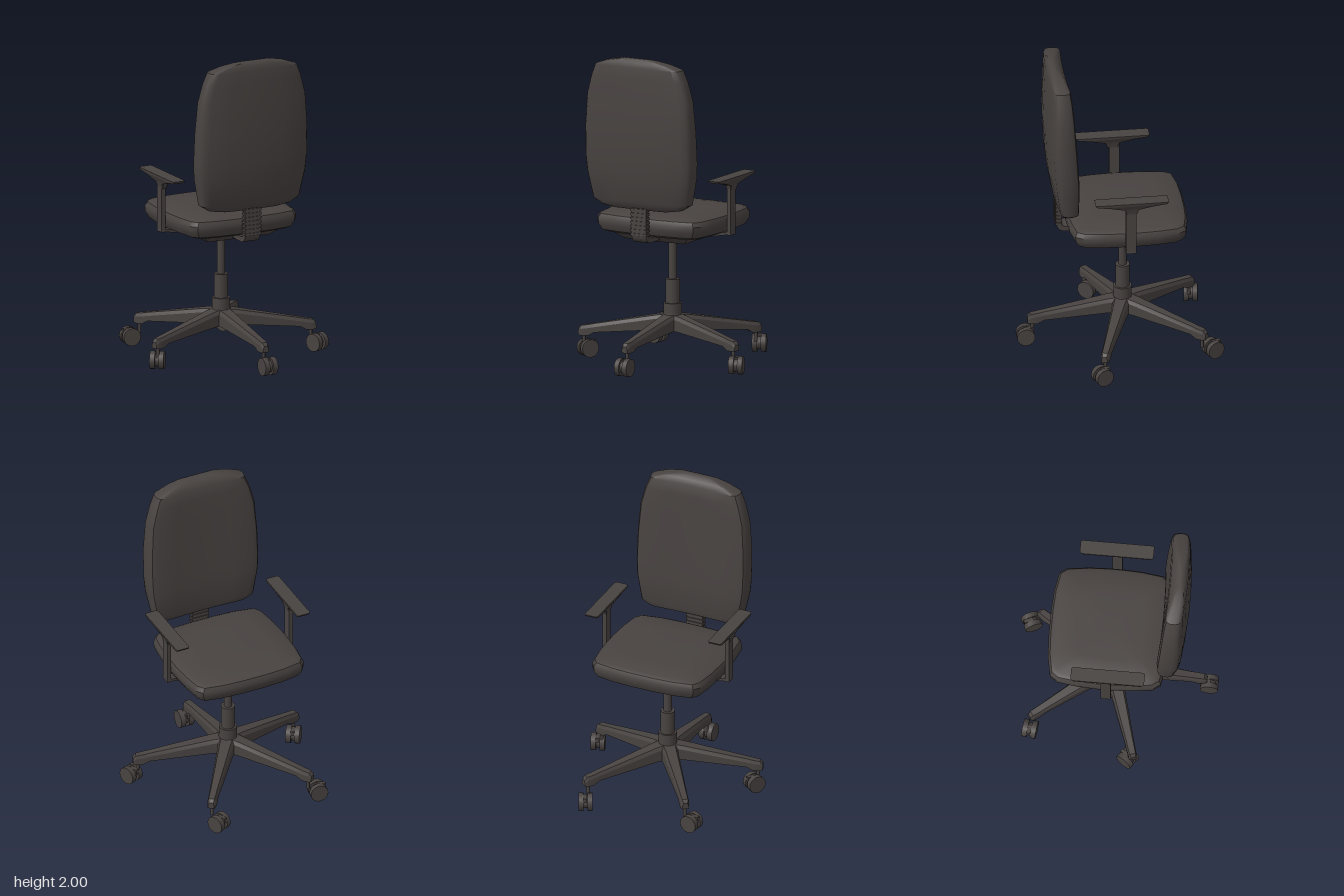
import * as THREE from 'three';
import { toCreasedNormals } from 'three/addons/utils/BufferGeometryUtils.js';

const charcoal = new THREE.MeshStandardMaterial({ color: 0x484341 });
charcoal.name = 'charcoal';

function add(parent, name, geometry, x = 0, y = 0, z = 0) {
  const mesh = new THREE.Mesh(geometry, charcoal);
  mesh.name = name;
  mesh.position.set(x, y, z);
  parent.add(mesh);
  return mesh;
}

// Closed skin over a list of rings, each a list of [x, y, z]
function loft(rings, crease = 0.6) {
  const n = rings[0].length, pos = rings.flat(2), index = [];
  for (let i = 0; i < rings.length - 1; i++) {
    for (let j = 0; j < n; j++) {
      const k = (j + 1) % n, a = i * n + j, c = i * n + k;
      index.push(a, a + n, c, a + n, c + n, c);
    }
  }
  [0, rings.length - 1].forEach((r, end) => {
    const centre = pos.length / 3;
    for (let axis = 0; axis < 3; axis++) {
      pos.push(rings[r].reduce((s, p) => s + p[axis], 0) / n);
    }
    for (let j = 0; j < n; j++) {
      const a = r * n + j, b = r * n + (j + 1) % n;
      index.push(centre, end ? b : a, end ? a : b);
    }
  });
  const g = new THREE.BufferGeometry();
  g.setAttribute('position', new THREE.Float32BufferAttribute(pos, 3));
  g.setIndex(index);
  return toCreasedNormals(g, crease);
}

// Mirrors a quarter outline into a full ring of [x, z]
function outline(quarter) {
  const flip = (q, sx, sz) => q.map(([x, z]) => [x * sx, z * sz]);
  const back = [...quarter].reverse();
  return [...quarter, ...flip(back, -1, 1), ...flip(quarter, -1, -1), ...flip(back, 1, -1)];
}

const cylinder = (rTop, rBottom, h, sides = 20) => new THREE.CylinderGeometry(rTop, rBottom, h, sides);

function addSeat(chair) {
  const shape = outline([[1, 0.12], [0.985, 0.45], [0.94, 0.8], [0.86, 0.92], [0.55, 0.98], [0.2, 1]]);
  const layers = [[0.845, 0.86], [0.86, 0.94], [0.9, 0.995], [0.935, 1], [0.962, 0.965], [0.975, 0.9], [0.985, 0.55]];
  add(chair, 'seatCushion', loft(layers.map(([y, s]) =>
    shape.map(([x, z]) => [x * 0.4 * s, y, -0.05 + z * 0.38 * s]))));

  // Tapered plate under the cushion
  const square = outline([[1, 1]]);
  add(chair, 'seatPlate', loft([[0.8, 0.215, 0.225], [0.85, 0.275, 0.285]].map(([y, hx, hz]) =>
    square.map(([x, z]) => [x * hx, y, -0.035 + z * hz])), 0.3));
}

function addBackrest(chair) {
  const shape = outline([[1, 0.2], [0.985, 0.6], [0.95, 0.85], [0.85, 1], [0.5, 1], [0.15, 1]]);
  // height, half width, front z, back z
  const layers = [
    [1.03, 0.2, 0.3, 0.375], [1.045, 0.29, 0.275, 0.39], [1.08, 0.345, 0.265, 0.405], [1.25, 0.378, 0.265, 0.435],
    [1.35, 0.385, 0.27, 0.445], [1.55, 0.382, 0.282, 0.455], [1.75, 0.367, 0.295, 0.45], [1.87, 0.335, 0.303, 0.446],
    [1.945, 0.305, 0.312, 0.442], [1.975, 0.22, 0.33, 0.435], [1.992, 0.14, 0.35, 0.425], [2, 0.09, 0.37, 0.41],
  ];
  add(chair, 'backrestCushion', loft(layers.map(([y, hw, zf, zb]) => shape.map(([u, v]) => {
    const t = (u * hw / 0.385) ** 2;
    const bend = v > 0 ? -0.03 * t * v : -0.02 * (1 - t) * v;
    return [u * hw, y, (zf + zb) / 2 + v * (zb - zf) / 2 + bend];
  }))));
}

function addBackSupport(chair) {
  // Bent strip, drawn from the side
  const s = new THREE.Shape();
  s.moveTo(0.15, 0.82);
  s.lineTo(0.33, 0.815);
  s.quadraticCurveTo(0.385, 0.82, 0.385, 0.88);
  s.lineTo(0.385, 1.08);
  s.lineTo(0.355, 1.08);
  s.lineTo(0.355, 0.88);
  s.quadraticCurveTo(0.355, 0.848, 0.32, 0.848);
  s.lineTo(0.15, 0.848);
  const strip = new THREE.ExtrudeGeometry(s, { depth: 0.105, bevelEnabled: false, curveSegments: 6 });
  strip.translate(0, 0, -0.0525).rotateY(-Math.PI / 2);
  add(chair, 'backSupport', strip);
  for (let i = 0; i < 7; i++) {
    add(chair, 'supportRib', new THREE.BoxGeometry(0.115, 0.016, 0.042), 0, 0.872 + i * 0.026, 0.37);
  }
}

function addArmrest(chair, side) {
  const arm = new THREE.Group();
  arm.name = side > 0 ? 'leftArmrest' : 'rightArmrest';
  const x = side * 0.425;
  const shape = outline([[1, 0.94], [0.85, 1]]);
  const layers = [[1.13, 0.014, 0.032], [1.165, 0.022, 0.045], [1.19, 0.034, 0.14], [1.207, 0.045, 0.225], [1.22, 0.045, 0.232]];
  add(arm, 'armPad', loft(layers.map(([y, hx, hz]) =>
    shape.map(([u, v]) => [u * hx, y, v * hz]))), x, 0, -0.036 + side * -0.008);
  add(arm, 'armPost', new THREE.BoxGeometry(0.027, 0.31, 0.064), x, 1.0, -0.04);
  const bracket = add(arm, 'armBracket', new THREE.BoxGeometry(0.23, 0.018, 0.062), side * 0.325, 0.84, -0.04);
  bracket.rotation.z = side * 0.17;
  chair.add(arm);
}

function addBase(chair) {
  const z = -0.04;
  add(chair, 'gasLift', cylinder(0.026, 0.026, 0.33), 0, 0.66, z);
  add(chair, 'columnSleeve', cylinder(0.045, 0.045, 0.3), 0, 0.375, z);
  add(chair, 'columnCollar', cylinder(0.058, 0.058, 0.075), 0, 0.335, z);
  add(chair, 'hub', cylinder(0.058, 0.075, 0.105), 0, 0.2525, z);

  // distance, top, bottom, half width on top, half width at bottom
  const sections = [
    [0, 0.305, 0.2, 0.04, 0.056], [0.1, 0.293, 0.2, 0.034, 0.048], [0.5, 0.22, 0.165, 0.02, 0.029],
    [0.54, 0.212, 0.142, 0.02, 0.028], [0.585, 0.205, 0.142, 0.018, 0.026], [0.603, 0.185, 0.145, 0.013, 0.02],
  ];
  const leg = loft(sections.map(([d, top, bottom, tw, bw]) => [
    [-tw, top, d], [tw, top, d], [bw, top - 0.022, d], [bw, bottom, d], [-bw, bottom, d], [-bw, top - 0.022, d],
  ]), 0.3);
  // wheel centre x, z and turn of each caster
  const casters = [[0.007, 0.575, 0], [0.578, 0.16, 0.36], [0.32, -0.572, 0.44], [-0.392, -0.52, 1.43], [-0.53, 0.108, -0.62]];
  casters.forEach(([cx, cz, turn], i) => {
    const angle = i * Math.PI * 2 / 5;
    add(chair, 'baseLeg', leg, 0, 0, z).rotation.y = angle;
    add(chair, 'casterStem', cylinder(0.011, 0.011, 0.08, 10),
      Math.sin(angle) * 0.57, 0.118, z + Math.cos(angle) * 0.57);
    addCaster(chair, cx, cz, turn);
  });
}

function addCaster(chair, x, z, turn) {
  const caster = new THREE.Group();
  caster.name = 'caster';
  caster.position.set(x, 0.058, z);
  caster.rotation.y = turn;
  // Twin wheels on a narrower core
  for (const side of [-1, 1]) {
    add(caster, 'wheel', cylinder(0.057, 0.057, 0.033, 18).rotateZ(Math.PI / 2), side * 0.028);
  }
  add(caster, 'wheelCore', cylinder(0.04, 0.04, 0.03, 14).rotateZ(Math.PI / 2));
  add(caster, 'casterFork', new THREE.BoxGeometry(0.022, 0.03, 0.06), 0, 0.035, -0.022);
  chair.add(caster);
}

export function createModel() {
  const chair = new THREE.Group();
  chair.name = 'officeChair';
  const body = new THREE.Group();
  body.name = 'chairBody';
  body.position.x = -0.0175;
  chair.add(body);
  addSeat(body);
  addBackrest(body);
  addBackSupport(body);
  addArmrest(body, 1);
  addArmrest(body, -1);
  addBase(body);
  return chair;
}
